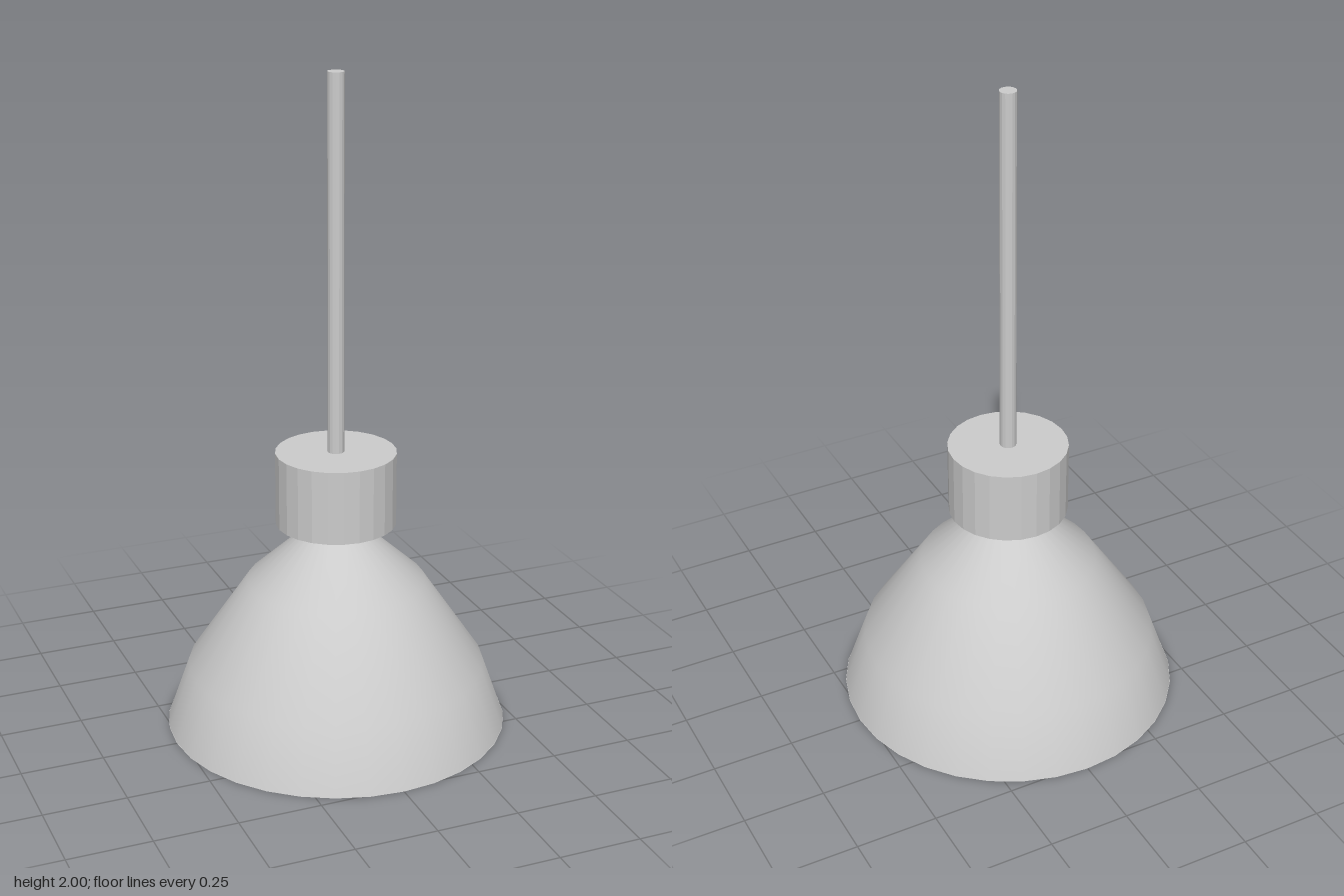
import * as THREE from 'three';

const grey = (options = {}) => new THREE.MeshStandardMaterial({ color: 0xcccccc, ...options });

export function createModel() {
  const lamp = new THREE.Group();
  lamp.name = 'pendantLamp';

  const add = (name, geometry, material, y) => {
    const mesh = new THREE.Mesh(geometry, material);
    mesh.name = name;
    mesh.position.y = y;
    lamp.add(mesh);
    return mesh;
  };
  const cylinder = (name, radius, bottom, top, sides) =>
    add(name, new THREE.CylinderGeometry(radius, radius, top - bottom, sides),
      grey({ flatShading: true }), (bottom + top) / 2);

  // Hanging rod and ceiling-side collar
  cylinder('rod', 0.025, 0.87, 2, 16);
  cylinder('collar', 0.182, 0.645, 0.87, 24);

  // Thin open bell shade
  const profile = [[0.52, 0], [0.453, 0.19], [0.27, 0.46], [0.065, 0.645]]
    .map(([r, y]) => new THREE.Vector2(r, y));
  add('shade', new THREE.LatheGeometry(profile, 32), grey({ side: THREE.DoubleSide }), 0);

  // Narrow rim closing the lower edge
  const rim = new THREE.RingGeometry(0.51, 0.52, 32).rotateX(Math.PI / 2);
  add('rim', rim, grey({ side: THREE.DoubleSide }), 0.002);

  // Socket and slightly elongated bulb
  cylinder('socket', 0.055, 0.4, 0.645, 16);
  const bulb = add('bulb', new THREE.SphereGeometry(0.13, 16, 12),
    new THREE.MeshStandardMaterial({ color: 0xffe0b0, flatShading: true }), 0.275);
  bulb.scale.y = 1.3;

  return lamp;
}
